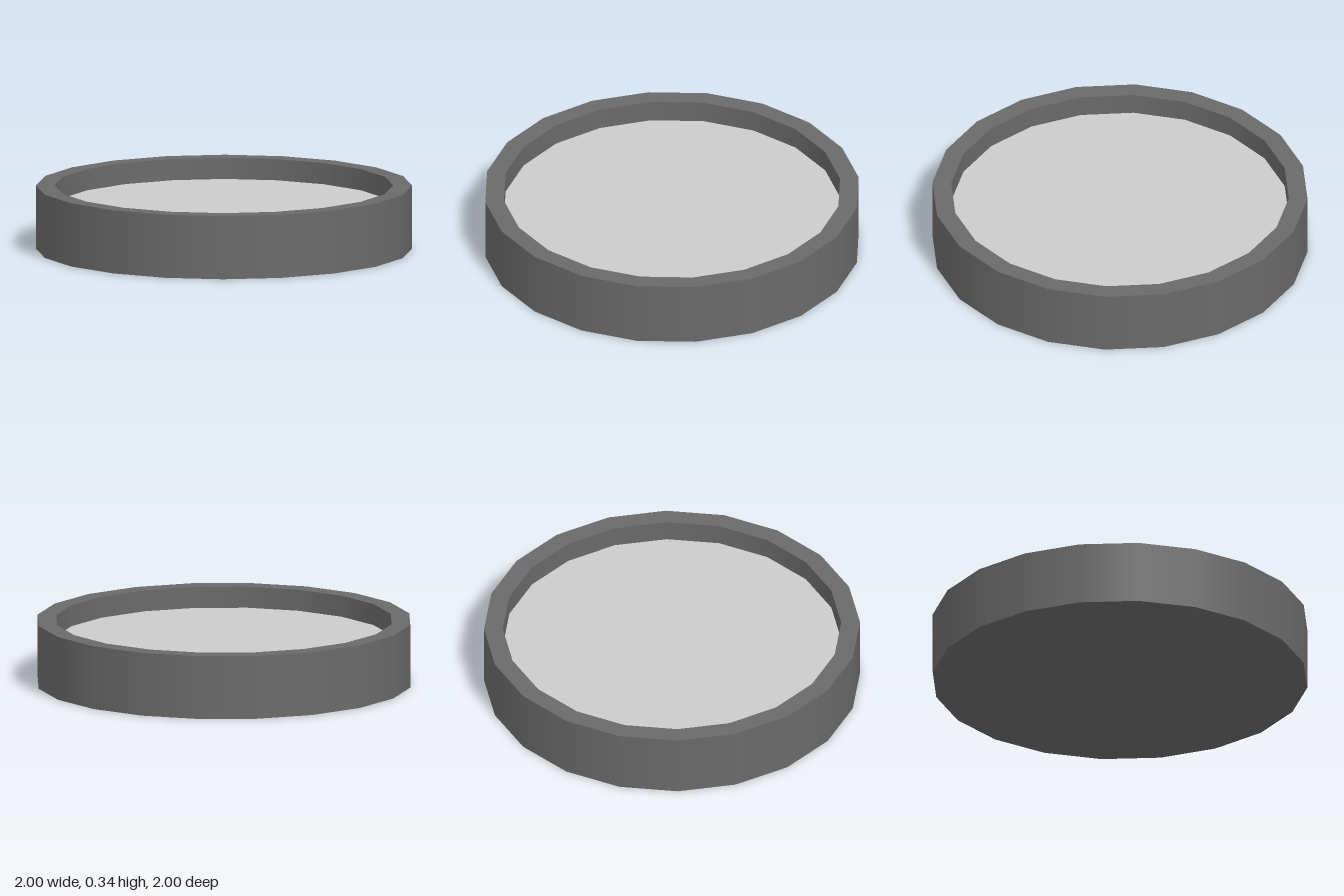
import * as THREE from 'three';
import { mergeGeometries } from 'three/addons/utils/BufferGeometryUtils.js';

const SIDES = 20;
const OUTER = 1, INNER = 0.9, HEIGHT = 0.34, FLOOR = 0.226;

// Revolves each profile segment on its own: smooth around, sharp between bands
function revolve(profile) {
  const bands = [];
  for (let i = 0; i < profile.length - 1; i++) {
    const ends = [profile[i], profile[i + 1]].map(([r, y]) => new THREE.Vector2(r, y));
    bands.push(new THREE.LatheGeometry(ends, SIDES));
  }
  return mergeGeometries(bands);
}

function part(name, profile, color) {
  const mesh = new THREE.Mesh(revolve(profile), new THREE.MeshStandardMaterial({ color }));
  mesh.name = name;
  return mesh;
}

export function createModel() {
  const model = new THREE.Group();
  model.name = 'roundTray';

  // Dark casing: underside, outer wall, flat rim and inner wall
  model.add(part('casing', [
    [0, 0], [OUTER, 0], [OUTER, HEIGHT], [INNER, HEIGHT], [INNER, FLOOR],
  ], 0x6a6a6a));

  // Pale recessed disc inside the rim
  model.add(part('recessedDisc', [[INNER, FLOOR], [0, FLOOR]], 0xcccccc));

  return model;
}
